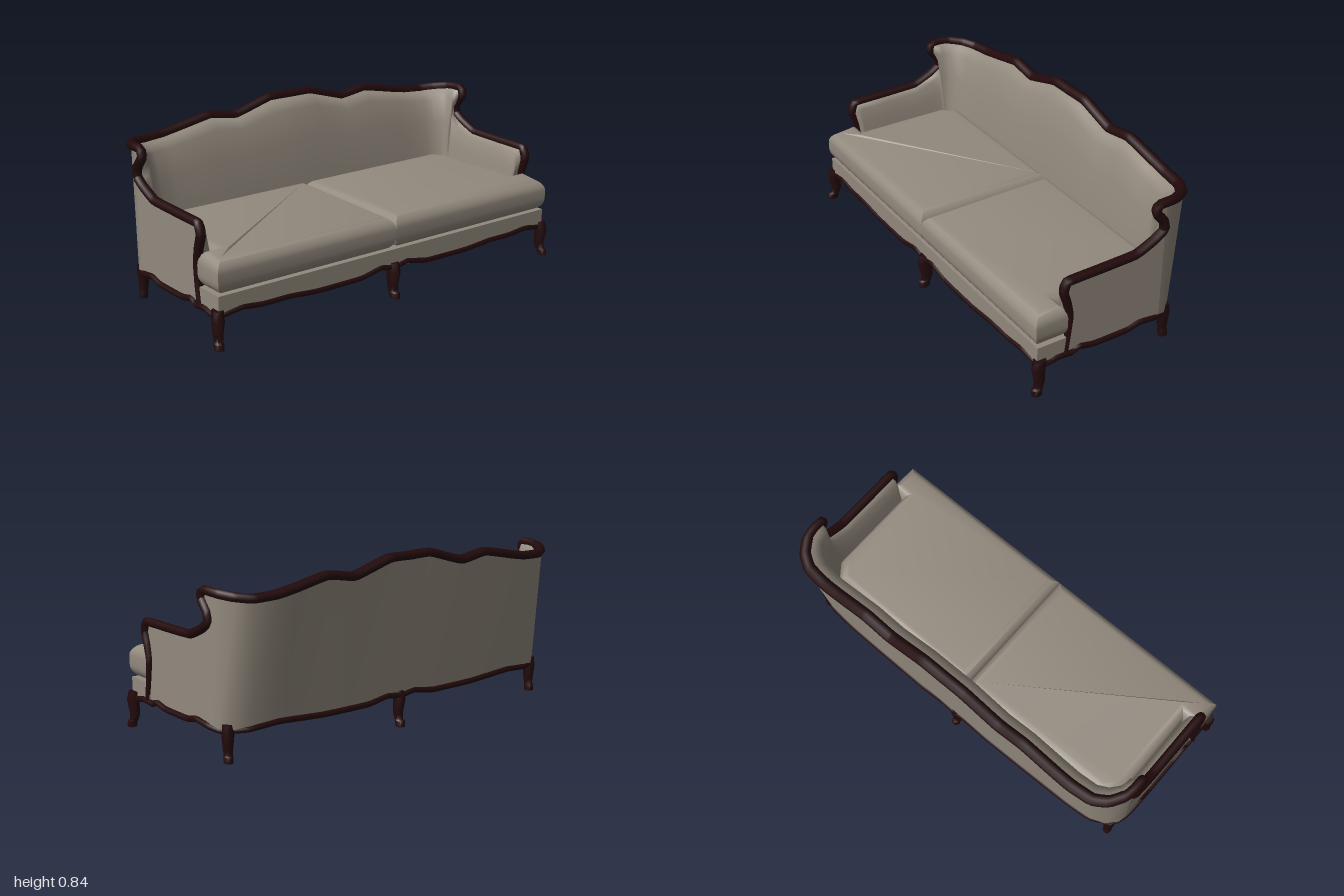
import * as THREE from 'three';
import { toCreasedNormals } from 'three/addons/utils/BufferGeometryUtils.js';

const V = (p) => new THREE.Vector3(p[0], p[1], p[2]);
const { smoothstep } = THREE.MathUtils;

// Mirror a half path [x,y,z] that ends on x = 0 into a full path
const mirrorPath = (half) => [...half, ...half.slice(0, -1).reverse().map(([x, y, z]) => [-x, y, z])];

// Carved rail: a tube whose section is scaled by rule(point) -> [sx, sy, sz]
function rail(points, segments, closed, rule) {
  const curve = new THREE.CatmullRomCurve3(points.map(V), closed, 'catmullrom', 0.2);
  const sides = 8;
  const geo = new THREE.TubeGeometry(curve, segments, 1, sides, closed);
  const pos = geo.attributes.position;
  const v = new THREE.Vector3();
  for (let i = 0; i <= segments; i++) {
    const c = curve.getPointAt(i / segments);
    const s = rule(c);
    for (let j = 0; j <= sides; j++) {
      const k = i * (sides + 1) + j;
      v.fromBufferAttribute(pos, k).sub(c);
      pos.setXYZ(k, c.x + v.x * s[0], c.y + v.y * s[1], c.z + v.z * s[2]);
    }
  }
  return geo;
}

// Skin over rows of points of equal length
function loft(rows) {
  const n = rows[0].length, index = [];
  for (let r = 0; r < rows.length - 1; r++) {
    for (let i = 0; i < n - 1; i++) {
      const a = r * n + i, b = a + n;
      index.push(a, b, a + 1, b, b + 1, a + 1);
    }
  }
  const geo = new THREE.BufferGeometry();
  geo.setAttribute('position', new THREE.Float32BufferAttribute(rows.flat(2), 3));
  geo.setIndex(index);
  geo.computeVertexNormals();
  return geo;
}

// Curved leg: sections of [height, half width, outward shift]
function leg(x, z, dx, dz, depth) {
  const sections = [[0.175, 0.026, 0], [0.13, 0.028, 0.01], [0.06, 0.022, 0.002],
    [0.035, 0.019, 0.008], [0.028, 0.022, 0.016], [0, 0.021, 0.02]];
  const n = sections.length - 1;
  const geo = new THREE.CylinderGeometry(1, 1, 1, 8, n);
  const pos = geo.attributes.position;
  for (let i = 0; i < pos.count; i++) {
    const [h, w, o] = sections[Math.round((0.5 - pos.getY(i)) * n)];
    pos.setXYZ(i, x + pos.getX(i) * w + dx * o, h, z + pos.getZ(i) * w * depth + dz * o);
  }
  return toCreasedNormals(geo, 0.9);
}

export function createModel() {
  const sofa = new THREE.Group();
  sofa.name = 'sofa';
  const fabric = new THREE.MeshStandardMaterial({ color: 0x938a7e, side: THREE.DoubleSide });
  fabric.name = 'taupe fabric';
  const wood = new THREE.MeshStandardMaterial({ color: 0x23090b });
  wood.name = 'dark wood';
  const add = (name, geo, mat) => {
    const mesh = new THREE.Mesh(geo, mat);
    mesh.name = name;
    sofa.add(mesh);
  };

  // Arm and wing rail [z, y] from the foot of the post to the wing top, then inner foot [x, z]
  const arm = [
    [0.27, 0.16, 0.89, 0.25], [0.256, 0.26, 0.89, 0.25], [0.25, 0.35, 0.89, 0.25], [0.265, 0.42, 0.89, 0.25],
    [0.284, 0.48, 0.89, 0.25], [0.265, 0.528, 0.89, 0.24], [0.1, 0.532, 0.89, 0.1], [-0.09, 0.538, 0.888, -0.07],
    [-0.19, 0.58, 0.885, -0.16], [-0.24, 0.615, 0.882, -0.2], [-0.235, 0.66, 0.88, -0.215],
    [-0.19, 0.715, 0.878, -0.225], [-0.2, 0.75, 0.876, -0.23],
  ];
  // Back columns: rail [x,y,z], outer foot [x,z], inner foot [x,z]
  const columns = [
    [[0.966, 0.752, -0.25], [0.966, -0.24], [0.875, -0.235]],
    [[0.957, 0.748, -0.3], [0.957, -0.28], [0.86, -0.245]],
    [[0.915, 0.738, -0.365], [0.92, -0.325], [0.835, -0.255]],
    [[0.85, 0.73, -0.405], [0.84, -0.355], [0.8, -0.265]],
    [[0.74, 0.735, -0.418], [0.74, -0.365], [0.72, -0.27]],
    [[0.65, 0.75, -0.42], [0.65, -0.367], [0.65, -0.27]],
    [[0.47, 0.785, -0.42], [0.47, -0.37], [0.47, -0.27]],
    [[0.32, 0.763, -0.42], [0.32, -0.371], [0.32, -0.27]],
    [[0.12, 0.82, -0.422], [0.12, -0.373], [0.12, -0.27]],
    [[0, 0.82, -0.422], [0, -0.373], [0, -0.27]],
  ];

  // Outer skin of the back, straight from the rail to the apron
  add('backOuter', loft([
    mirrorPath(columns.map(([[x, y, z]]) => [x, y, z - 0.018 * smoothstep(-z, 0.28, 0.4)])),
    mirrorPath(columns.map(([, o]) => [o[0], 0.15, o[1]])),
  ]), fabric);

  // Outer arm panels
  for (const [side, s] of [['left', 1], ['right', -1]]) {
    const outline = [...arm, [-0.25, 0.752], [-0.24, 0.15]].map(([z, y]) => new THREE.Vector2(-z, y));
    const geo = new THREE.ShapeGeometry(new THREE.Shape(outline));
    add(side + 'ArmPanel', geo.rotateY(s * Math.PI / 2).scale(1, 1, s).translate(s * 0.966, 0, 0), fabric);
  }

  // Padded inner skin running round both arms, wings and the back
  const inner = [...arm.map(([z, y, ix, iz]) => [[0.966, y, z], [ix, iz]]), ...columns.map(([t, , i]) => [t, i])];
  const padding = [[0, 0], [0.3, 0.03], [0.55, 0.1], [0.72, 0.35], [0.9, 0.65], [1, 1]];
  add('innerUpholstery', loft(padding.map(([f, d]) => mirrorPath(inner.map(([t, i]) => [
    t[0] + (i[0] - t[0]) * f,
    t[1] + (0.24 - t[1]) * d,
    t[2] + (i[1] - t[2]) * f,
  ])))), fabric);

  // Front seat base
  add('seatBase', new THREE.BoxGeometry(1.94, 0.09, 0.155).translate(0, 0.195, 0.3375), fabric);

  // Two T-shaped seat cushions, softly sloping at the front edge
  for (const [side, s] of [['left', 1], ['right', -1]]) {
    const outline = [[0, -0.425], [0.975, -0.425], [0.975, -0.262], [0.895, -0.262],
      [0.895, 0.2], [0.83, 0.285], [0, 0.285]].map(([x, y]) => new THREE.Vector2(s * x, y));
    const geo = new THREE.ExtrudeGeometry(new THREE.Shape(outline), {
      depth: 0.048, bevelThickness: 0.06, bevelSize: 0.05, bevelOffset: -0.05, bevelSegments: 6,
    });
    geo.rotateX(-Math.PI / 2).translate(0, 0.3, 0);
    const pos = geo.attributes.position;
    for (let i = 0; i < pos.count; i++) {
      const y = pos.getY(i), slope = smoothstep(pos.getZ(i), 0.3, 0.425);
      pos.setY(i, y - 0.015 * slope * smoothstep(y, 0.3, 0.4));
    }
    add(side + 'Cushion', toCreasedNormals(geo, 0.7), fabric);
  }

  // Carved top rail, thinning down the arm posts
  const topHalf = [...arm.map(([z, y]) => [0.966, y, z]), ...columns.map(([t]) => t)];
  add('topRail', rail(mirrorPath(topHalf), 220, false, (p) => {
    if (p.y < 0.5) return [0.023, 0.02, 0.006 + 0.016 * smoothstep(p.y, 0.2, 0.48)];
    return p.z < -0.3 ? [0.025, 0.022, 0.03] : [0.023, 0.021, 0.023];
  }), wood);

  // Wavy apron rail around the bottom
  const apronHalf = [[0.08, 0.165, 0.41], [0.2, 0.142, 0.41], [0.45, 0.141, 0.41], [0.6, 0.153, 0.41],
    [0.74, 0.153, 0.41], [0.85, 0.164, 0.41], [0.95, 0.15, 0.405], [0.968, 0.142, 0.36],
    [0.968, 0.154, 0.31], [0.968, 0.148, 0.23], [0.968, 0.165, 0.2], [0.968, 0.149, 0.12], [0.968, 0.149, -0.06],
    [0.968, 0.165, -0.13], [0.964, 0.154, -0.22], [0.94, 0.143, -0.29], [0.84, 0.147, -0.35],
    [0.7, 0.158, -0.365], [0.45, 0.143, -0.367], [0.2, 0.143, -0.37], [0.08, 0.163, -0.37]];
  const apron = [[0, 0.15, 0.41], ...apronHalf, [0, 0.15, -0.37],
    ...apronHalf.slice().reverse().map(([x, y, z]) => [-x, y, z])];
  add('apronRail', rail(apron, 200, true, () => [0.014, 0.015, 0.014]), wood);

  // Six legs with outward feet
  add('frontMiddleLeg', leg(0, 0.4, 0, 1, 1.4), wood);
  add('backMiddleLeg', leg(0, -0.352, 0, -1, 1.1), wood);
  for (const [side, s] of [['Left', 1], ['Right', -1]]) {
    add('front' + side + 'Leg', leg(s * 0.968, 0.4, s * 0.4, 1, 1.2), wood);
    add('back' + side + 'Leg', leg(s * 0.922, -0.303, s * 0.1, -0.3, 1.1), wood);
  }
  return sofa;
}
